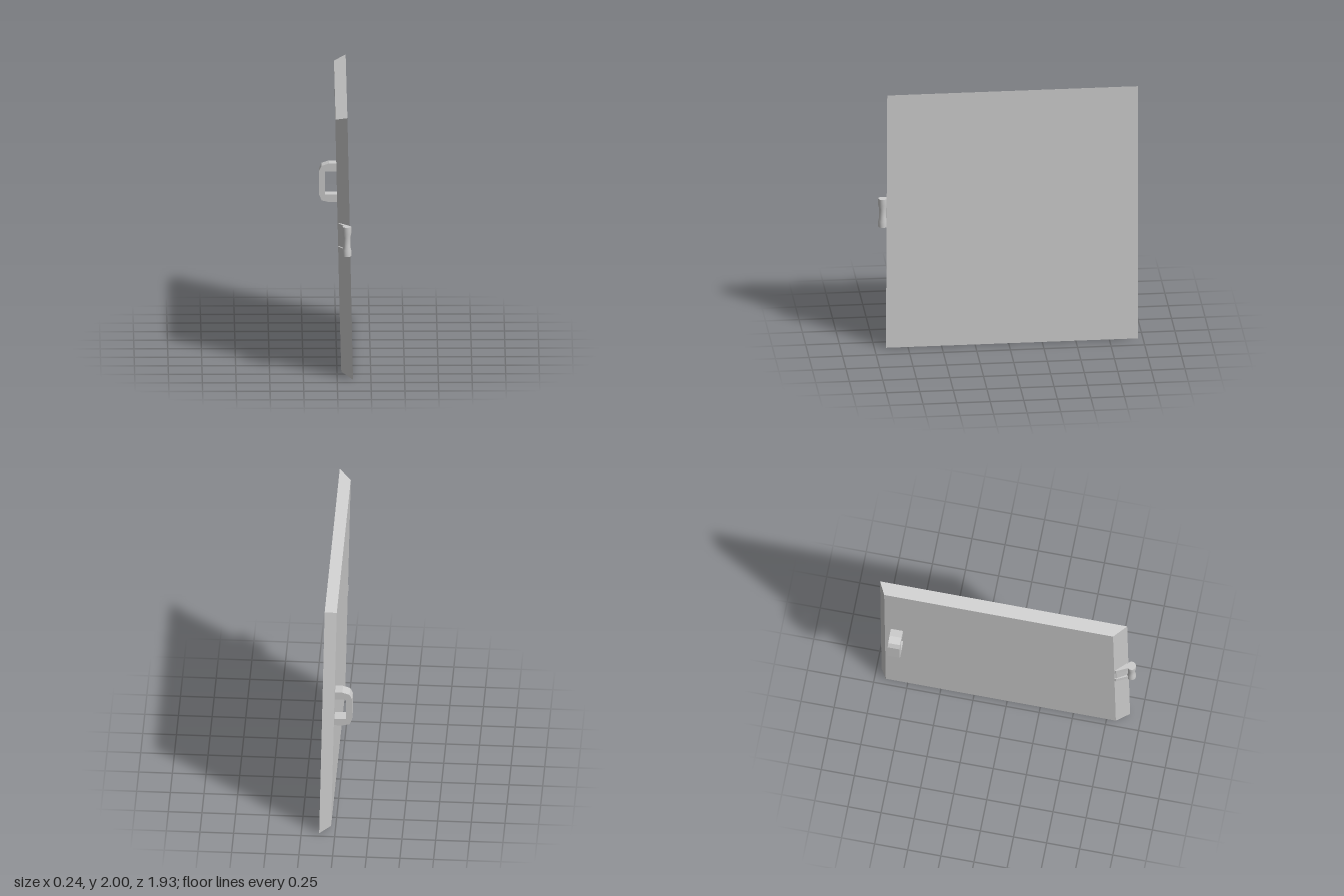
import * as THREE from 'three';
import { ConvexGeometry } from 'three/addons/geometries/ConvexGeometry.js';

const material = new THREE.MeshStandardMaterial({ color: 0xcccccc, flatShading: true });
const smooth = new THREE.MeshStandardMaterial({ color: 0xcccccc });

function add(parent, name, geometry, mat = material) {
  const mesh = new THREE.Mesh(geometry, mat);
  mesh.name = name;
  parent.add(mesh);
  return mesh;
}

const shapeOf = (points) => new THREE.Shape(points.map(([x, y]) => new THREE.Vector2(x, y)));

// Upright prism: an outline in x/z extruded from y0 to y1
function prism(outline, y0, y1) {
  const geometry = new THREE.ExtrudeGeometry(shapeOf(outline.map(([x, z]) => [x, -z])),
    { depth: y1 - y0, bevelEnabled: false });
  return geometry.rotateX(-Math.PI / 2).translate(0, y0, 0);
}

export function createModel() {
  const door = new THREE.Group();
  door.name = 'door';

  // Slightly leaning slab whose four edges slope in towards the handle side
  const corners = [
    [0.076, 2, -0.966], [0.076, 2, 0.9], [0.117, 0, -0.962], [0.117, 0, 0.914],
    [-0.011, 1.965, -0.918], [-0.011, 1.965, 0.81], [0.031, 0.038, -0.914], [0.031, 0.038, 0.823],
  ].map((c) => new THREE.Vector3(...c));
  add(door, 'panel', new ConvexGeometry(corners));

  // C-shaped pull handle, its feet sunk into the panel
  const handle = shapeOf([
    [0.03, 1.213], [-0.05, 1.213], [-0.103, 1.195], [-0.122, 1.155],
    [-0.122, 0.975], [-0.103, 0.93], [-0.05, 0.917], [0.03, 0.917],
    [0.03, 0.975], [-0.077, 0.975], [-0.077, 1.15], [0.03, 1.15],
  ]);
  add(door, 'handle', new THREE.ExtrudeGeometry(handle, { depth: 0.09, bevelEnabled: false })
    .translate(0, 0, -0.87));

  // Hinge: a waisted barrel with a notched leaf on the sloping front edge
  const hinge = new THREE.Group();
  hinge.name = 'hinge';
  door.add(hinge);
  const barrel = [[0, 0.953], [0.033, 0.953], [0.033, 0.953], [0.033, 1.0], [0.026, 1.03],
    [0.026, 1.095], [0.033, 1.125], [0.033, 1.177], [0.033, 1.177], [0, 1.177]];
  add(hinge, 'hingeBarrel', new THREE.LatheGeometry(
    barrel.map(([r, y]) => new THREE.Vector2(r, y)), 16), smooth).position.set(0.071, 0, 0.934);

  const leaf = [[0.01, 0.815], [0.008, 0.828], [0.05, 0.915], [0.075, 0.925], [0.085, 0.89]];
  for (const [y0, y1] of [[0.953, 1.0], [1.12, 1.177]]) add(hinge, 'hingeLeaf', prism(leaf, y0, y1));
  const web = [[0.016, 0.815], [0.016, 0.83], [0.055, 0.895], [0.075, 0.925], [0.085, 0.89]];
  add(hinge, 'hingeWeb', prism(web, 1.0, 1.12));

  return door;
}
